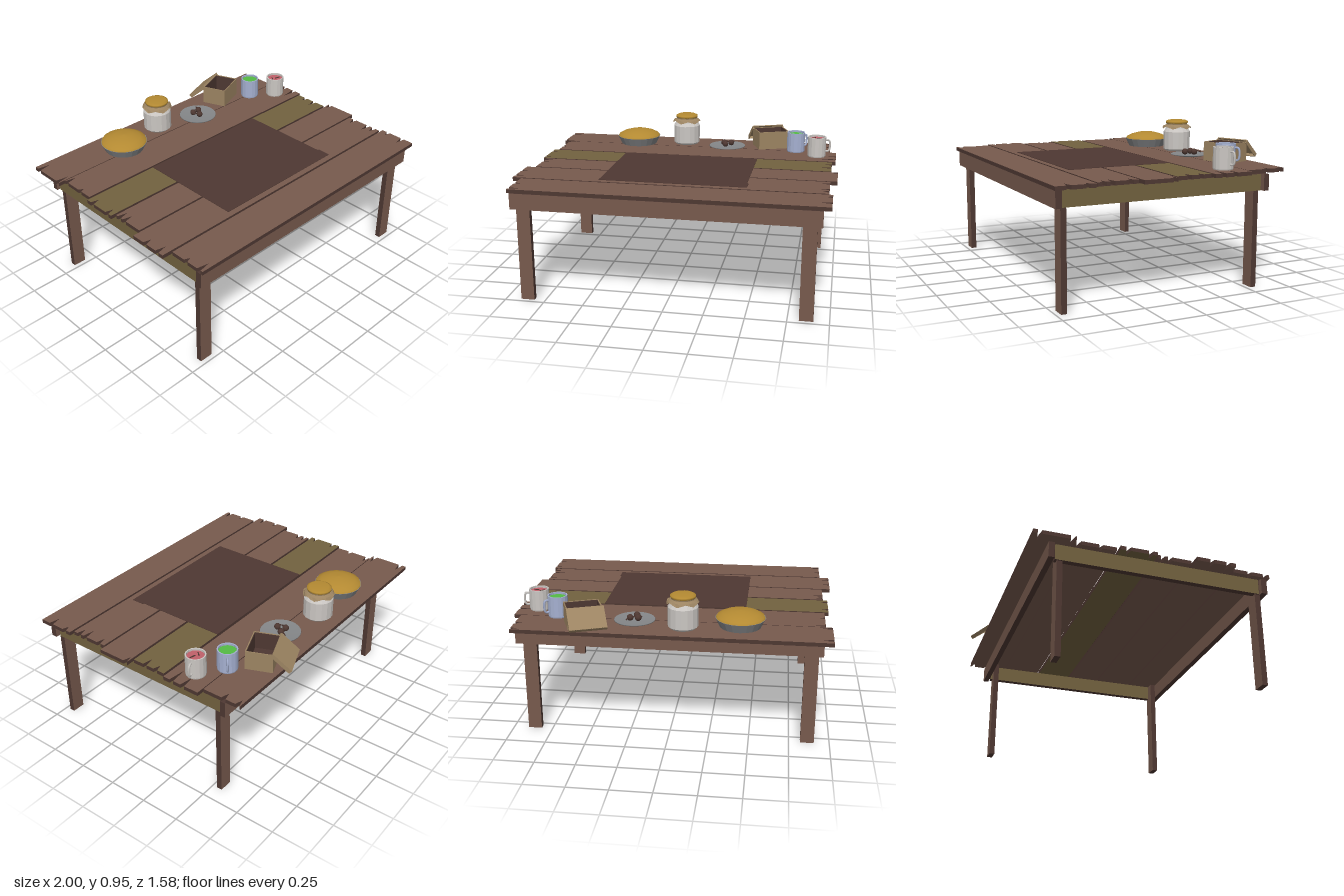
import * as THREE from 'three';

const mat = (name, color, side = THREE.FrontSide) => {
  const m = new THREE.MeshStandardMaterial({ color, side });
  m.name = name;
  return m;
};

export function createModel() {
  const root = new THREE.Group();
  root.name = 'laidTable';
  const brown = mat('brown wood', 0x775a4d);
  const dark = mat('dark wood', 0x4e3832);
  const olive = mat('olive wood', 0x72623f);
  const mustard = mat('mustard', 0xb48a32);
  const white = mat('white ceramic', 0xcac6c2, THREE.DoubleSide);
  const blue = mat('blue ceramic', 0xa5b0d0, THREE.DoubleSide);
  const grey = mat('grey metal', 0x848688, THREE.DoubleSide);
  const tan = mat('tan card', 0x9c8462, THREE.DoubleSide);
  const green = mat('green drink', 0x55bb44);
  const pink = mat('pink drink', 0xc0606a);

  const add = (parent, name, geo, m, x = 0, y = 0, z = 0) => {
    const mesh = new THREE.Mesh(geo, m);
    mesh.name = name;
    mesh.position.set(x, y, z);
    parent.add(mesh);
    return mesh;
  };
  const group = (name, x, y, z, ry = 0) => {
    const g = new THREE.Group();
    g.name = name;
    g.position.set(x, y, z);
    g.rotation.y = ry;
    root.add(g);
    return g;
  };
  const lathe = (pts, n) => new THREE.LatheGeometry(pts.map(p => new THREE.Vector2(...p)), n);
  const faceted = geo => {
    const g = geo.toNonIndexed();
    g.computeVertexNormals();
    return g;
  };
  // box given by its limits
  const slab = (name, x0, x1, y0, y1, z0, z1, mats) =>
    add(root, name, new THREE.BoxGeometry(x1 - x0, y1 - y0, z1 - z0), mats,
      (x0 + x1) / 2, (y0 + y1) / 2, (z0 + z1) / 2);

  // plank with V-shaped splits in its ends; notches are [z, depth] from back to front
  const plank = (name, m, x0, x1, z0, z1, leftEnd, rightEnd) => {
    const end = (x, inward, notches) => [
      [x, z0],
      ...notches.flatMap(([z, d]) => [[x, z - .014], [x + inward * d, z], [x, z + .014]]),
      [x, z1],
    ];
    const outline = [...end(x1, -1, rightEnd), ...end(x0, 1, leftEnd).reverse()];
    const shape = new THREE.Shape(outline.map(([x, z]) => new THREE.Vector2(x, -z)));
    const geo = new THREE.ExtrudeGeometry(shape, { depth: .024, bevelEnabled: false });
    geo.rotateX(-Math.PI / 2);
    add(root, name, geo, [m, dark], 0, .708, 0);
  };
  plank('plank1', brown, -.98, .935, -.725, -.47, [[-.685, .08], [-.49, .08]], [[-.705, .05], [-.61, .055]]);
  plank('plank2', brown, -.94, .98, -.465, -.215, [[-.445, .07], [-.31, .03]], [[-.355, .09], [-.275, .11]]);
  plank('plank3', olive, -.967, .957, -.2, .03, [[-.15, .05], [-.01, .05]], [[-.135, .045], [-.055, .065]]);
  plank('plank4', brown, -.94, 1, .045, .257, [[.075, .06], [.12, .06]], [[.06, .05]]);
  plank('plank5', brown, -.995, .957, .27, .523, [[.37, .05], [.475, .065]], [[.315, .055], [.43, .075], [.48, .055]]);
  plank('plank6', brown, -.935, .98, .537, .78, [[.645, .035], [.75, .075]], [[.585, .04], [.7, .07]]);

  // dark cloth across the middle planks
  slab('cloth', -.45, .46, .731, .735, -.2, .4, dark);
  slab('clothHem', -.45, .47, .731, .735, .4, .485, dark);

  // legs and rails, with dark edges
  const zFaces = [dark, dark, dark, dark, brown, brown];
  const xFaces = [olive, olive, dark, dark, dark, dark];
  for (const s of [-1, 1]) {
    const x0 = Math.min(s * .82, s * .905);
    slab('frontLeg', x0, x0 + .085, 0, .7, .685, .72, zFaces);
    slab('backLeg', x0, x0 + .085, 0, .7, -.565, -.53, zFaces);
    const r0 = Math.min(s * .876, s * .912);
    slab('sideRail', r0, r0 + .036, .6, .7, -.578, .712, xFaces);
  }
  slab('frontRail', -.93, .935, .6, .7, .722, .76, zFaces);
  slab('backRail', -.93, .935, .6, .7, -.62, -.585, zFaces);

  // pie
  const pie = group('pie', -.43, .732, -.51);
  add(pie, 'pieDish', faceted(lathe([[0, .003], [.125, .003], [.152, .058], [.14, .058]], 20)), grey);
  add(pie, 'pieCrust', lathe([[.15, .055], [.143, .07], [.11, .087], [.06, .101], [0, .105]], 20), mustard);

  // jar with a wavy cloth cover
  const jar = group('jar', -.09, .732, -.57);
  add(jar, 'jarBody', faceted(lathe([[0, .002], [.08, .002], [.093, .015], [.093, .135], [.075, .16], [.07, .185]], 16)), white);
  const skirt = lathe([[.099, .155], [.088, .175], [.072, .185], [.074, .197]], 24);
  const sp = skirt.attributes.position;
  for (let i = 0; i < sp.count; i++) {
    if (sp.getY(i) < .16) sp.setY(i, .163 + .009 * Math.sin(Math.atan2(sp.getZ(i), sp.getX(i)) * 6));
  }
  add(jar, 'jarCloth', faceted(skirt), tan);
  add(jar, 'jarLid', lathe([[.07, .19], [.077, .195], [.077, .206], [.06, .214], [0, .214]], 20), mustard);

  // plate of small dark fruit
  const plate = group('plate', .215, .732, -.495);
  add(plate, 'plateDish', lathe([[0, .003], [.085, .003], [.127, .012], [.125, .016], [.085, .008], [0, .008]], 24), grey);
  [[-.025, -.02, .2], [.025, -.02, 1.2], [-.01, .03, 2.4]].forEach(([x, z, a]) => {
    const fruit = new THREE.Group();
    fruit.name = 'fruit';
    fruit.position.set(x, .03, z);
    fruit.rotation.y = a;
    plate.add(fruit);
    add(fruit, 'fruitBody', new THREE.IcosahedronGeometry(.021, 1), dark);
    add(fruit, 'fruitStem', new THREE.CylinderGeometry(.004, .004, .045, 6), dark, .025, .006, 0).rotation.z = 1.2;
  });

  // open box with a dark lining and a folded-back lid
  const box = group('openBox', .515, .732, -.578, .38);
  const w = .215, d = .165, h = .122, t = .006;
  add(box, 'boxFloor', new THREE.BoxGeometry(w, t, d), tan, 0, .004, 0);
  add(box, 'boxLining', new THREE.BoxGeometry(w - .014, .004, d - .014), dark, 0, .01, 0);
  for (const s of [-1, 1]) {
    add(box, 'boxSide', new THREE.BoxGeometry(t, h, d), tan, s * (w - t) / 2, h / 2, 0);
    add(box, 'boxSideLining', new THREE.BoxGeometry(.003, h - .006, d - .014), dark, s * (w / 2 - .008), h / 2, 0);
    add(box, 'boxWall', new THREE.BoxGeometry(w, h, t), tan, 0, h / 2, s * (d - t) / 2);
    add(box, 'boxWallLining', new THREE.BoxGeometry(w - .014, h - .006, .003), dark, 0, h / 2, s * (d / 2 - .008));
  }
  const lid = new THREE.Group();
  lid.name = 'boxLid';
  lid.position.set(0, h + .008, -d / 2);
  lid.rotation.x = -.72;
  box.add(lid);
  add(lid, 'lidPanel', new THREE.BoxGeometry(w + .01, .006, .15), tan, 0, 0, -.07);
  for (const s of [-1, 1])
    add(lid, 'lidRim', new THREE.BoxGeometry(.005, .024, .15), tan, s * (w / 2 + .003), -.01, -.07);
  add(lid, 'lidFrontRim', new THREE.BoxGeometry(w + .01, .024, .005), tan, 0, -.01, -.143);

  // mugs; the handle points along local +x
  const mug = (name, x, z, ry, m, drink) => {
    const g = group(name, x, .732, z, ry);
    add(g, 'mugBody', faceted(lathe([[0, .003], [.06, .003], [.062, .01], [.062, .137], [.054, .137], [.054, .118]], 16)), m);
    add(g, 'drink', new THREE.CylinderGeometry(.055, .055, .004, 16), drink, 0, .122, 0);
    const path = new THREE.CatmullRomCurve3([[.056, .112], [.08, .112], [.088, .1], [.088, .05], [.08, .037], [.056, .037]]
      .map(([a, b]) => new THREE.Vector3(a, b, 0)));
    add(g, 'mugHandle', new THREE.TubeGeometry(path, 20, .007, 6), m);
    return g;
  };
  mug('blueMug', .70, -.46, .65, blue, green);
  const whiteMug = mug('whiteMug', .848, -.348, .25, white, pink);
  [[-.02, -.01, .6], [.015, .012, -.5]].forEach(([x, z, a]) => {
    add(whiteMug, 'herb', new THREE.BoxGeometry(.036, .004, .006), dark, x, .126, z).rotation.y = a;
  });

  return root;
}
